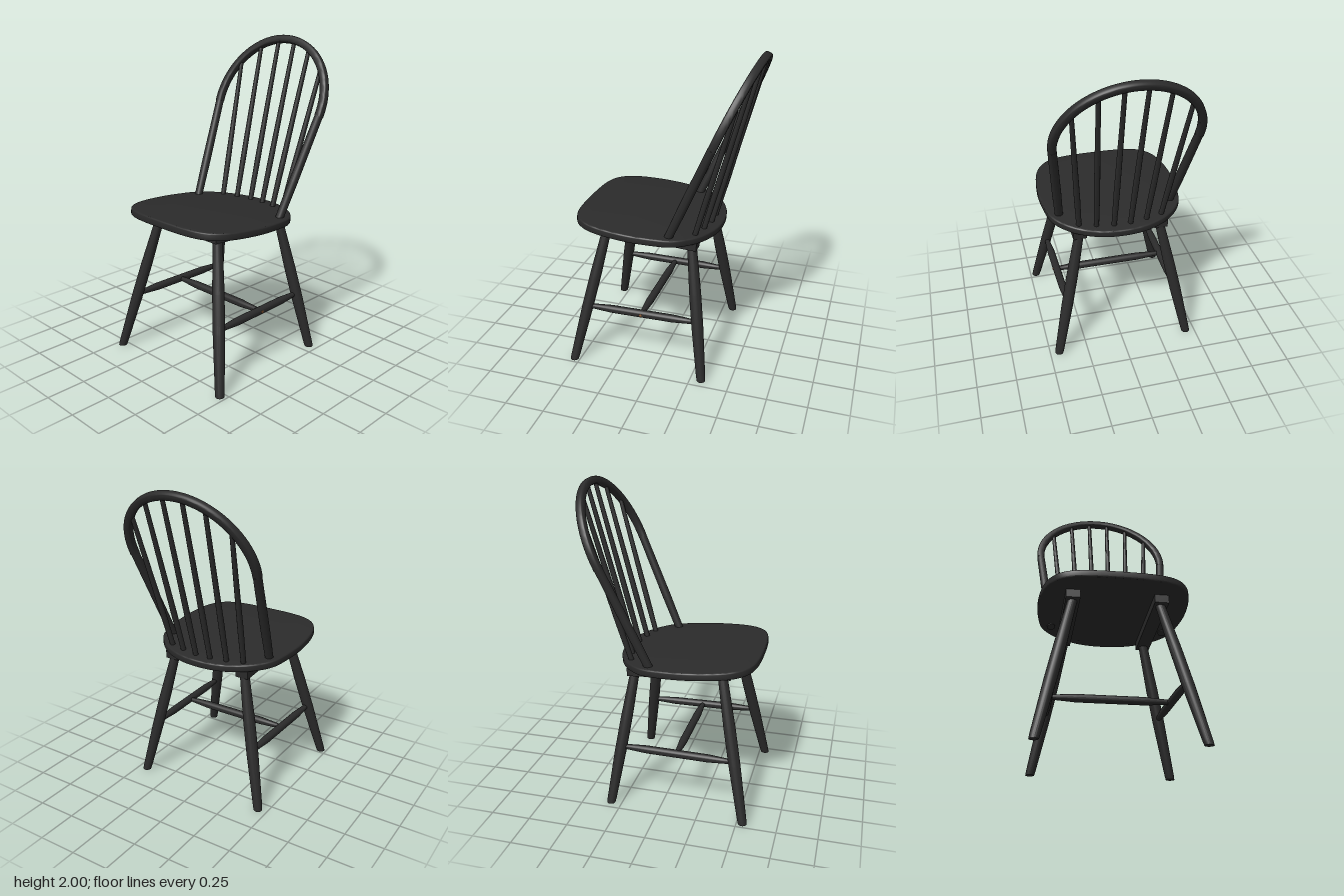
import * as THREE from 'three';
import { toCreasedNormals } from 'three/addons/utils/BufferGeometryUtils.js';

const black = new THREE.MeshStandardMaterial({ color: 0x2b2b2b });
black.name = 'black paint';
const wood = new THREE.MeshStandardMaterial({ color: 0x9a6238 });
wood.name = 'bare wood';

const V = (x, y, z) => new THREE.Vector3(x, y, z);

function add(parent, name, geometry, material = black) {
  const mesh = new THREE.Mesh(geometry, material);
  mesh.name = name;
  parent.add(mesh);
  return mesh;
}

// Turned profile: rows of [fraction of length, radius], closed at both ends
function turned(length, rows, sides = 20) {
  const pts = [new THREE.Vector2(0, 0)];
  for (const [t, r] of rows) pts.push(new THREE.Vector2(r, t * length));
  pts.push(new THREE.Vector2(0, length));
  return toCreasedNormals(new THREE.LatheGeometry(pts, sides), 0.6);
}

// Turned rod running from a to b
function rod(parent, name, a, b, rows, sides) {
  const dir = b.clone().sub(a);
  const mesh = add(parent, name, turned(dir.length(), rows, sides));
  mesh.position.copy(a);
  mesh.quaternion.setFromUnitVectors(V(0, 1, 0), dir.normalize());
  return mesh;
}

// Splayed leg, sheared so that the foot stays flat on the floor
function leg(parent, name, foot, top) {
  const g = turned(top.y, [[0, 0.027], [0.03, 0.029], [0.4, 0.037], [0.65, 0.037], [1, 0.029]]);
  const kx = (top.x - foot.x) / top.y, kz = (top.z - foot.z) / top.y;
  g.applyMatrix4(new THREE.Matrix4().set(1, kx, 0, foot.x, 0, 1, 0, 0, 0, kz, 1, foot.z, 0, 0, 0, 1));
  add(parent, name, g);
}

export function createModel() {
  const chair = new THREE.Group();
  chair.name = 'chair';

  // Seat board and the two cleats below it, tilted back together
  const seat = new THREE.Group();
  seat.name = 'seatGroup';
  seat.position.y = 0.902;
  seat.rotation.x = -0.0664;
  chair.add(seat);
  const half = [[0.25, 0.553], [0.345, 0.515], [0.405, 0.445], [0.438, 0.35], [0.456, 0.17],
    [0.444, 0.02], [0.415, -0.11], [0.36, -0.19], [0.27, -0.265], [0.14, -0.32]];
  const outline = [[0, 0.568], ...half, [0, -0.336], ...half.map(([x, z]) => [-x, z]).reverse(), [0, 0.568]]
    .map(([x, z]) => V(x, -z, 0));
  const curve = new THREE.CatmullRomCurve3(outline.slice(0, -1), true);
  const shape = new THREE.Shape(curve.getPoints(96).slice(0, -1).map(p => new THREE.Vector2(p.x, p.y)));
  const bevel = 0.009;
  const board = new THREE.ExtrudeGeometry(shape, {
    depth: 0.046 - 2 * bevel, bevelThickness: bevel, bevelSize: bevel, bevelOffset: -bevel, bevelSegments: 3 });
  board.translate(0, 0, bevel).rotateX(-Math.PI / 2);
  add(seat, 'seat', toCreasedNormals(board, 0.6));
  for (const s of [1, -1]) {
    add(seat, 'cleat', new THREE.BoxGeometry(0.085, 0.052, 0.65)).position.set(s * 0.262, -0.025, 0.083);
  }

  // Legs and side stretchers
  const stretcher = [[0, 0.014], [0.1, 0.019], [0.22, 0.025], [0.78, 0.025], [0.9, 0.019], [1, 0.014]];
  for (const s of [1, -1]) {
    leg(chair, 'frontLeg', V(s * 0.46, 0, 0.537), V(s * 0.258, 0.9, 0.35));
    leg(chair, 'backLeg', V(s * 0.44, 0, -0.32), V(s * 0.258, 0.86, -0.2));
    rod(chair, 'sideStretcher', V(s * 0.375, 0.372, 0.455), V(s * 0.36, 0.372, -0.265), stretcher);
  }
  rod(chair, 'crossStretcher', V(-0.365, 0.372, 0.095), V(0.365, 0.372, 0.095), stretcher);
  // Bare end of the cross stretcher showing through the side stretcher
  const plug = add(chair, 'stretcherEnd', new THREE.CylinderGeometry(0.009, 0.009, 0.006, 12), wood);
  plug.rotation.z = Math.PI / 2;
  plug.position.set(0.391, 0.372, 0.095);

  // Leaning hoop back: squared bow on two round posts
  const lean = 0.424, R = 0.43, centre = 0.743, drop = 0.095;
  const back = new THREE.Group();
  back.name = 'hoopBack';
  back.position.set(0, 0.9, -0.065);
  back.rotation.x = -lean;
  chair.add(back);
  const arc = [];
  for (let i = 0; i <= 40; i++) {
    const a = -drop + (Math.PI + 2 * drop) * i / 40;
    arc.push(V(R * Math.cos(a), centre + R * Math.sin(a), 0));
  }
  const section = new THREE.Shape();
  for (let i = 0; i < 24; i++) {
    const a = i * Math.PI / 12;
    const f = v => Math.sign(v) * Math.pow(Math.abs(v), 0.55) * 0.0245;
    section[i ? 'lineTo' : 'moveTo'](f(Math.cos(a)), f(Math.sin(a)));
  }
  const bow = new THREE.ExtrudeGeometry(section, {
    steps: 64, bevelEnabled: false, extrudePath: new THREE.CatmullRomCurve3(arc) });
  add(back, 'bow', toCreasedNormals(bow, 0.6));
  for (const s of [1, -1]) {
    rod(back, 'post', V(s * 0.357, -0.015, 0), V(s * arc[0].x, arc[0].y + 0.004, 0),
      [[0, 0.025], [0.4, 0.028], [1, 0.026]]);
  }

  // Spindles fanning from the seat up into the bow: bottom x, bottom z, top x
  for (const [bx, bz, tx] of [[0.052, -0.257, 0.066], [0.158, -0.237, 0.202], [0.26, -0.208, 0.338]]) {
    const v = centre + Math.sqrt(R * R - tx * tx);
    const topY = 0.9 + v * Math.cos(lean), topZ = -0.065 - v * Math.sin(lean);
    for (const s of [1, -1]) {
      rod(chair, 'spindle', V(s * bx, 0.885, bz), V(s * tx, topY, topZ),
        [[0, 0.016], [0.3, 0.0185], [1, 0.013]], 14);
    }
  }
  return chair;
}
